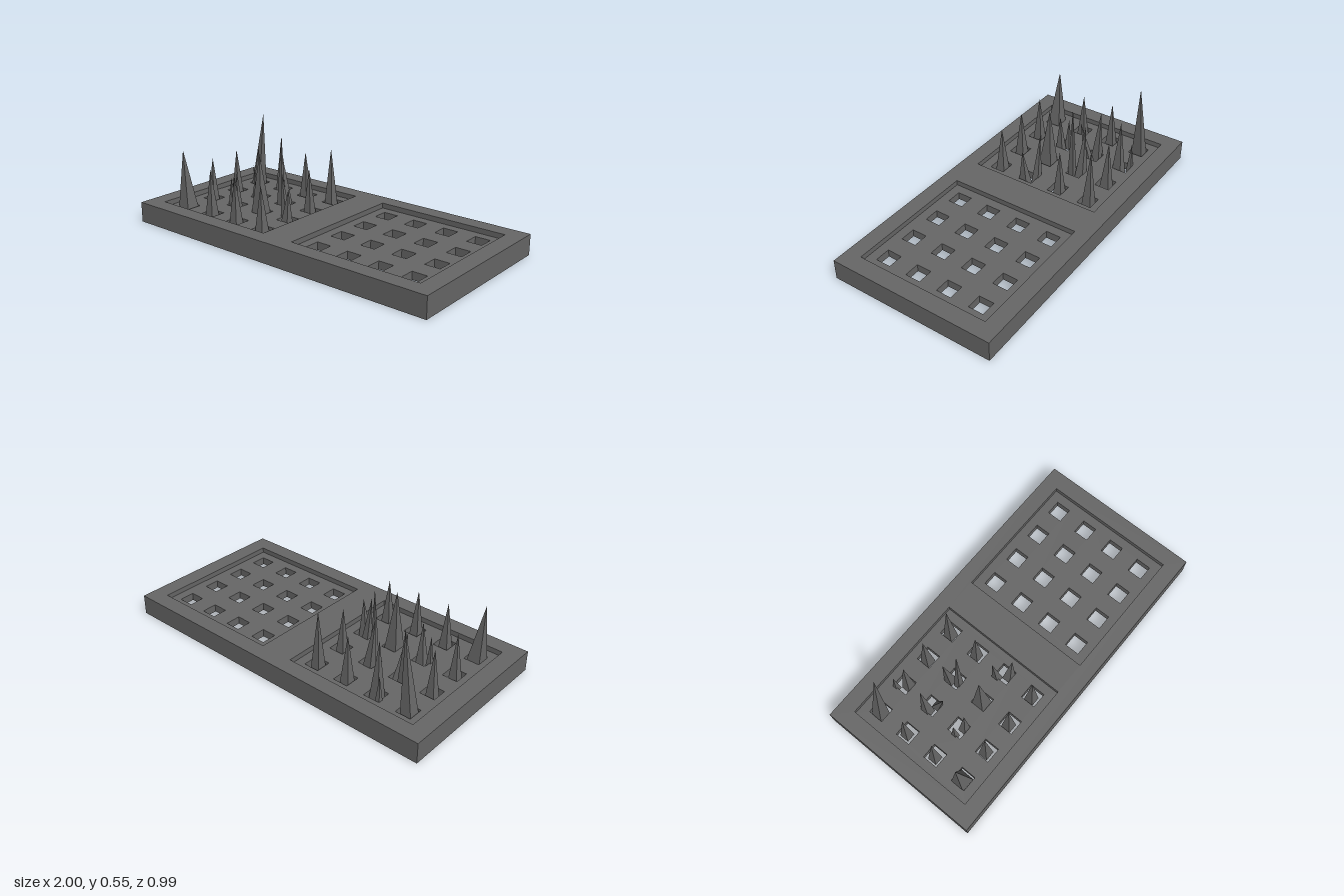
import * as THREE from 'three';

const TOP = 0.12, FLOOR = 0.09, SOCKET = 0.045, HOLE = 0.09;
const COLS = [-0.3, -0.1, 0.1, 0.3];

// Spikes: base x, base z, base width, tip x, tip height, tip z
const SPIKES = [
  [-0.81, -0.30, 0.07, -0.757, 0.545, -0.30],
  [-0.64, -0.33, 0.035, -0.64, 0.235, -0.33],
  [-0.59, -0.28, 0.06, -0.59, 0.395, -0.275],
  [-0.41, -0.30, 0.06, -0.41, 0.36, -0.30],
  [-0.21, -0.30, 0.06, -0.21, 0.415, -0.30],
  [-0.805, -0.105, 0.055, -0.80, 0.35, -0.10],
  [-0.63, -0.105, 0.055, -0.63, 0.39, -0.12],
  [-0.577, -0.085, 0.045, -0.575, 0.31, -0.015],
  [-0.41, -0.125, 0.055, -0.445, 0.39, -0.125],
  [-0.405, -0.07, 0.04, -0.39, 0.52, -0.067],
  [-0.21, -0.105, 0.055, -0.21, 0.34, -0.10],
  [-0.805, 0.10, 0.055, -0.80, 0.34, 0.10],
  [-0.64, 0.105, 0.035, -0.64, 0.25, 0.105],
  [-0.58, 0.12, 0.05, -0.57, 0.30, 0.125],
  [-0.407, 0.10, 0.085, -0.41, 0.435, 0.10],
  [-0.235, 0.07, 0.045, -0.268, 0.36, 0.07],
  [-0.19, 0.12, 0.055, -0.167, 0.28, 0.125],
  [-0.807, 0.297, 0.088, -0.832, 0.425, 0.30],
  [-0.607, 0.297, 0.06, -0.605, 0.35, 0.30],
  [-0.41, 0.297, 0.06, -0.41, 0.35, 0.30],
  [-0.21, 0.297, 0.06, -0.21, 0.34, 0.30],
];

// Rectangle outline in plan
function rect(target, x, z, w, d) {
  const a = w / 2, b = d / 2;
  target.moveTo(x - a, z - b);
  target.lineTo(x + a, z - b);
  target.lineTo(x + a, z + b);
  target.lineTo(x - a, z + b);
  target.closePath();
  return target;
}

// Flat horizontal sheet with rectangular openings, facing up
function sheet(name, outline, openings, y, material) {
  const shape = rect(new THREE.Shape(), ...outline);
  for (const o of openings) shape.holes.push(rect(new THREE.Path(), ...o));
  const geo = new THREE.ShapeGeometry(shape).rotateX(-Math.PI / 2);
  const mesh = new THREE.Mesh(geo, material);
  mesh.name = name;
  mesh.position.y = y;
  return mesh;
}

// Four upright walls, open above and below
function walls(name, x, z, w, d, low, high, material) {
  const geo = new THREE.CylinderGeometry(Math.SQRT1_2, Math.SQRT1_2, 1, 4, 1, true);
  geo.rotateY(Math.PI / 4).scale(w, high - low, d).translate(x, (low + high) / 2, z);
  const mesh = new THREE.Mesh(geo, material);
  mesh.name = name;
  return mesh;
}

// Four-sided open spike, sheared so its tip leans
function spike([x, z, w, tipX, tipY, tipZ], material) {
  const h = tipY - SOCKET;
  const geo = new THREE.ConeGeometry(Math.SQRT1_2, 1, 4, 1, true);
  geo.rotateY(Math.PI / 4).translate(0, 0.5, 0).scale(w, h, w);
  geo.applyMatrix4(new THREE.Matrix4().set(
    1, (tipX - x) / h, 0, x,
    0, 1, 0, SOCKET,
    0, (tipZ - z) / h, 1, z,
    0, 0, 0, 1));
  const mesh = new THREE.Mesh(geo, material);
  mesh.name = 'spike';
  return mesh;
}

export function createModel() {
  const grey = new THREE.MeshStandardMaterial({
    color: 0x666666, flatShading: true, side: THREE.DoubleSide,
  });
  grey.name = 'dark grey';
  const model = new THREE.Group();
  model.name = 'spikeTrap';

  // Hollow base: outer walls and a deck with two tray openings
  model.add(walls('outerWalls', 0, 0, 2, 0.99, 0, TOP, grey));
  model.add(sheet('deck', [0, 0, 2, 0.99],
    [[-0.5, 0, 0.8, 0.8], [0.5, 0, 0.8, 0.8]], TOP, grey));

  // Sunken trays, each with a grid of square sockets
  for (const side of [-1, 1]) {
    const tray = new THREE.Group();
    tray.name = side < 0 ? 'rightTray' : 'leftTray';
    const cx = side * 0.5;
    const holes = [];
    for (const dx of COLS) for (const z of COLS) holes.push([cx + dx, z, HOLE, HOLE]);
    tray.add(walls('trayWalls', cx, 0, 0.8, 0.8, FLOOR, TOP, grey));
    // the sheet's plan axis is mirrored in z, which leaves this symmetric grid unchanged
    tray.add(sheet('trayFloor', [cx, 0, 0.8, 0.8], holes, FLOOR, grey));
    for (const h of holes) tray.add(walls('socket', ...h, SOCKET, FLOOR, grey));
    model.add(tray);
  }

  // Spikes rising from one tray
  const spikes = new THREE.Group();
  spikes.name = 'spikes';
  for (const s of SPIKES) spikes.add(spike(s, grey));
  model.add(spikes);
  return model;
}
